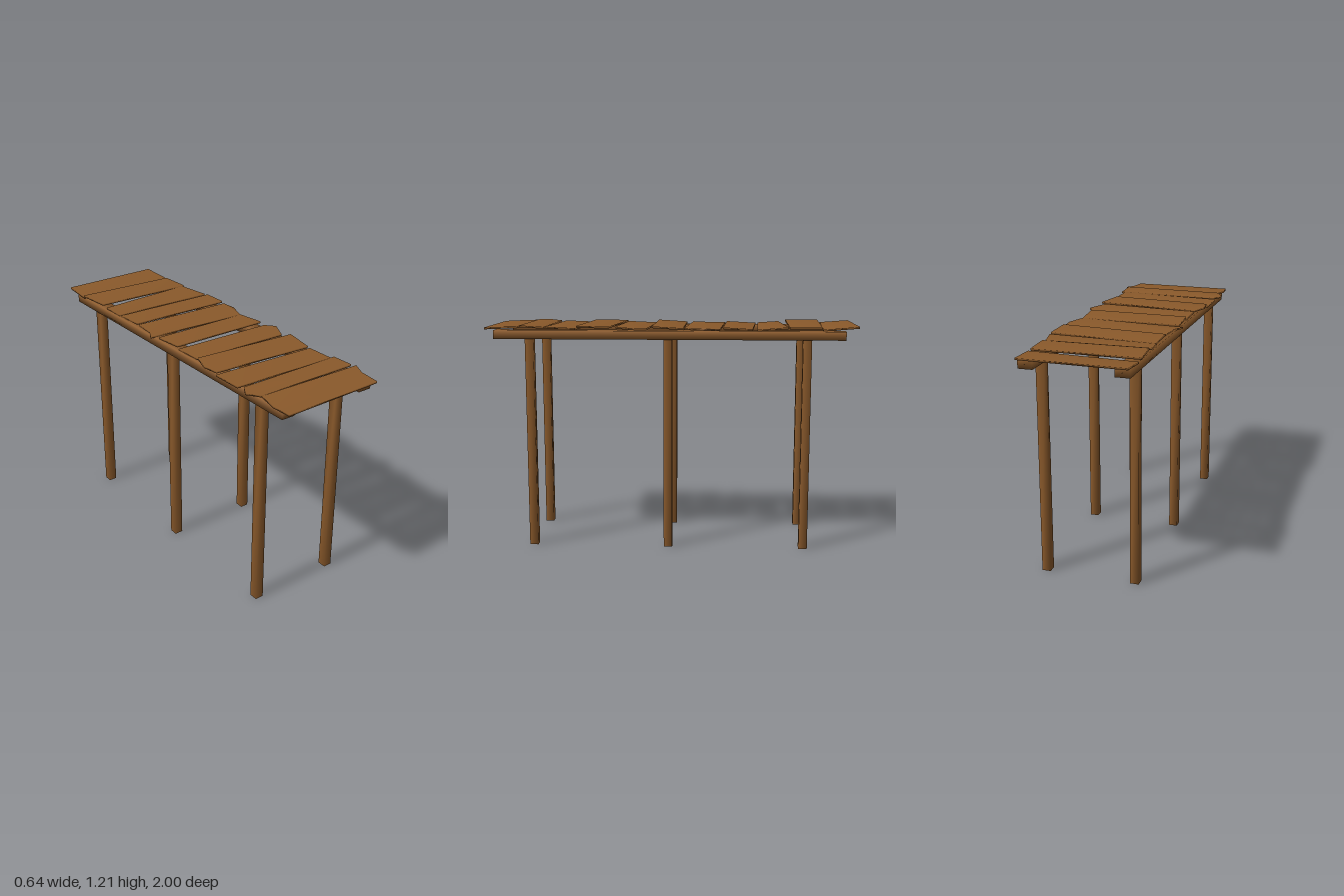
import * as THREE from 'three';
import { mergeVertices } from 'three/addons/utils/BufferGeometryUtils.js';

const wood = new THREE.MeshStandardMaterial({ color: 0x8b5a2b });
wood.name = 'brown wood';

// Weld corners so the timber shades softly around its edges
function soften(geometry) {
  geometry.deleteAttribute('normal');
  geometry.deleteAttribute('uv');
  const welded = mergeVertices(geometry, 1e-4);
  welded.clearGroups();
  welded.computeVertexNormals();
  return welded;
}

function addMesh(parent, name, geometry, x = 0, y = 0, z = 0) {
  const mesh = new THREE.Mesh(geometry, wood);
  mesh.name = name;
  mesh.position.set(x, y, z);
  parent.add(mesh);
}

const THICK = 0.01;

// Rough-cut planks: outline in [x, z], underside height at back and front, roll across x
const PLANKS = [
  { pts: [[-0.29, -1], [0.26, -1], [0.275, -0.81], [-0.29, -0.84]], back: 1.2, front: 1.186, roll: 0.005 },
  { pts: [[-0.3, -0.825], [0.265, -0.805], [0.275, -0.635], [-0.28, -0.64]], back: 1.2, front: 1.2, roll: -0.008 },
  { pts: [[-0.28, -0.6], [0.26, -0.63], [0.305, -0.465], [-0.27, -0.48]], back: 1.196, front: 1.186, roll: 0.006 },
  { pts: [[-0.265, -0.47], [0.31, -0.44], [0.3, -0.285], [-0.265, -0.305]], back: 1.186, front: 1.196, roll: 0.01 },
  { pts: [[-0.26, -0.295], [0.3, -0.27], [0.305, -0.185], [0.27, -0.08], [-0.305, -0.11], [-0.27, -0.175]], back: 1.188, front: 1.19, roll: 0.006 },
  { pts: [[-0.275, -0.075], [0.27, -0.075], [0.28, 0.09], [-0.27, 0.09]], back: 1.19, front: 1.2, roll: 0.004 },
  { pts: [[-0.27, 0.1], [0.28, 0.12], [0.32, 0.175], [0.265, 0.285], [-0.27, 0.265]], back: 1.186, front: 1.194, roll: 0.01 },
  { pts: [[-0.27, 0.27], [0.3, 0.32], [0.265, 0.495], [-0.295, 0.46], [-0.305, 0.37]], back: 1.197, front: 1.199, roll: 0.006 },
  { pts: [[-0.3, 0.465], [0.275, 0.5], [0.27, 0.66], [-0.305, 0.64]], back: 1.186, front: 1.193, roll: 0.008 },
  { pts: [[-0.285, 0.665], [0.29, 0.665], [0.285, 0.795], [-0.285, 0.795], [-0.325, 0.725]], back: 1.194, front: 1.201, roll: 0.008 },
  { pts: [[-0.28, 0.795], [0.305, 0.81], [0.275, 0.88], [0.27, 0.99], [-0.29, 1], [-0.3, 0.9]], back: 1.197, front: 1.188, roll: 0.006 },
];

function plankGeometry({ pts, back, front, roll }) {
  // Draw the outline with -z as shape y, then lay it flat
  const shape = new THREE.Shape(pts.map(([x, z]) => new THREE.Vector2(x, -z)));
  const geo = new THREE.ExtrudeGeometry(shape, { depth: THICK, bevelEnabled: false });
  geo.rotateX(-Math.PI / 2);
  const zs = pts.map((p) => p[1]);
  const z0 = Math.min(...zs), z1 = Math.max(...zs);
  // Tilt by shearing heights along z and x
  const pos = geo.attributes.position;
  for (let i = 0; i < pos.count; i++) {
    const t = (pos.getZ(i) - z0) / (z1 - z0);
    pos.setY(i, pos.getY(i) + back + (front - back) * t + roll * pos.getX(i));
  }
  return soften(geo);
}

export function createModel() {
  const model = new THREE.Group();
  model.name = 'woodenWalkway';

  // Posts and the long beams they carry
  const postGeo = soften(new THREE.BoxGeometry(0.046, 1.145, 0.046));
  const beamGeo = soften(new THREE.BoxGeometry(0.076, 0.046, 1.87));
  for (const [side, x] of [['left', 0.241], ['right', -0.241]]) {
    addMesh(model, side + 'Beam', beamGeo, x, 1.163, 0.005);
    [['Front', 0.75], ['Middle', 0.007], ['Back', -0.73]].forEach(([place, z]) =>
      addMesh(model, side + place + 'Post', postGeo, x, 0.5725, z));
  }

  // Deck
  const deck = new THREE.Group();
  deck.name = 'deck';
  PLANKS.forEach((plank, i) => addMesh(deck, 'plank' + (i + 1), plankGeometry(plank)));
  model.add(deck);

  return model;
}
